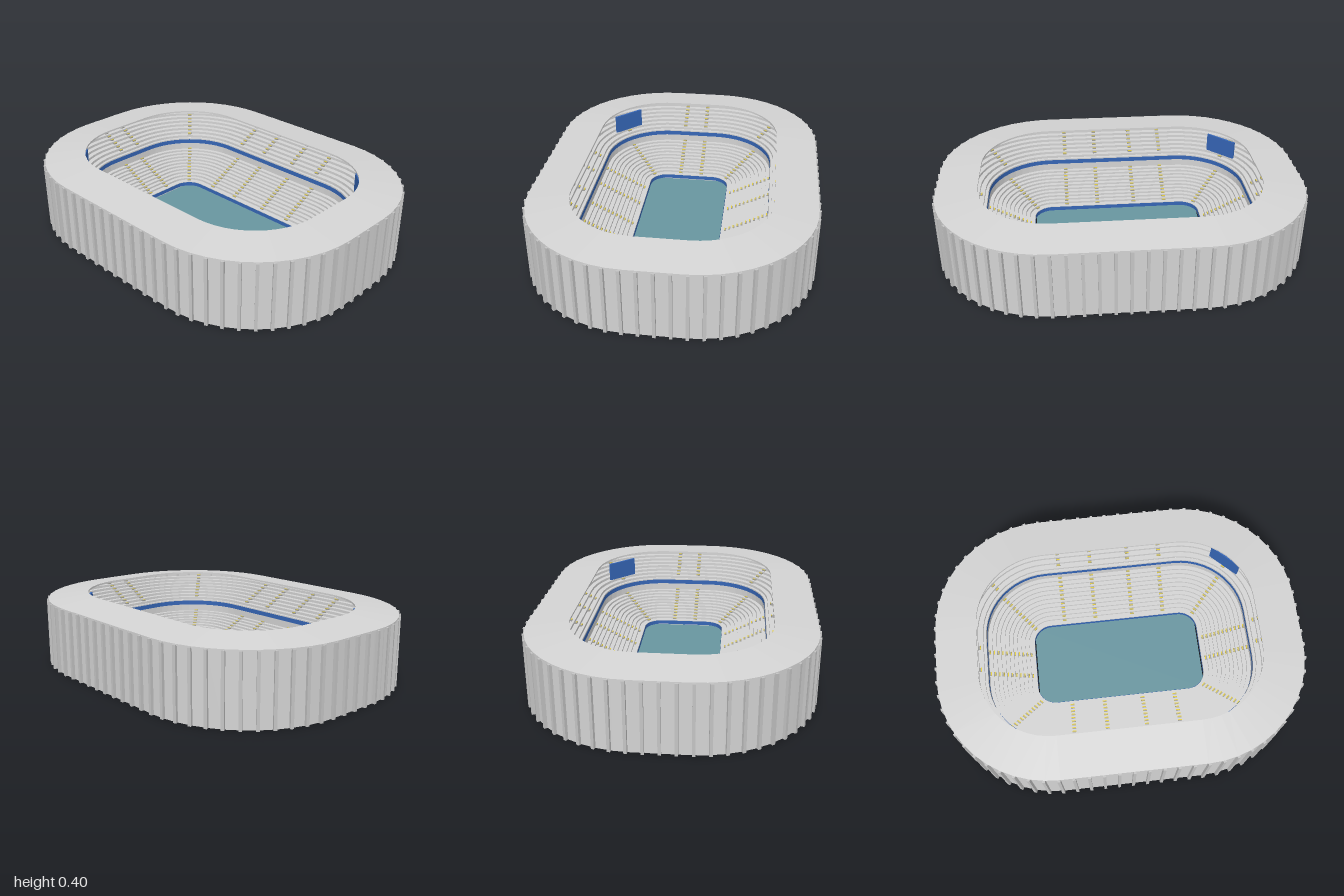
import * as THREE from 'three';

const mat = (name, color) => {
  const m = new THREE.MeshStandardMaterial({ color, side: THREE.DoubleSide });
  m.name = name;
  return m;
};

// Every ring is an offset, at distance r, of one core rectangle
const CX = 0.136, CZ = 0.38, CORNER_STEPS = 12;

// Outline directions: corner centre plus unit outward direction
function outline() {
  const pts = [];
  [[1, 1], [-1, 1], [-1, -1], [1, -1]].forEach(([sx, sz], q) => {
    for (let i = 0; i <= CORNER_STEPS; i++) {
      const t = (q + i / CORNER_STEPS) * Math.PI / 2;
      pts.push({ x: sx * CX, z: sz * CZ, c: Math.cos(t), s: Math.sin(t) });
    }
  });
  return pts;
}

// Sweep a profile of [r, y] points round the outline, with flat facets
function sweep(profile) {
  const path = outline(), pos = [];
  const at = (p, [r, y]) => [p.x + p.c * r, y, p.z + p.s * r];
  path.forEach((p, i) => {
    const n = path[(i + 1) % path.length];
    for (let j = 0; j < profile.length - 1; j++) {
      const a = at(p, profile[j]), b = at(n, profile[j]);
      const c = at(n, profile[j + 1]), d = at(p, profile[j + 1]);
      pos.push(...a, ...d, ...c, ...a, ...c, ...b);
    }
  });
  const g = new THREE.BufferGeometry();
  g.setAttribute('position', new THREE.Float32BufferAttribute(pos, 3));
  g.computeVertexNormals();
  return g;
}

// Stepped profile of a seating tier, closed by a sloping soffit
function tierProfile(t) {
  const p = [[t.r, t.y - t.rise]];
  for (let i = 0; i < t.rows; i++) {
    const y = t.y + i * t.rise;
    p.push([t.r + i * t.run, y], [t.r + (i + 1) * t.run, y]);
  }
  p.push([t.r + t.rows * t.run, t.y + (t.rows - 1) * t.rise - 0.002], [t.r, t.y - t.rise - 0.002]);
  return p;
}

export function createModel() {
  const model = new THREE.Group();
  model.name = 'stadium';
  const concrete = mat('concrete grey', 0xd3d3d3);
  const ribGrey = mat('rib grey', 0xc4c4c4);
  const blue = mat('band blue', 0x3565b5);
  const teal = mat('field teal', 0x68959f);
  const stairGrey = mat('stair grey', 0xa5a49e);
  const yellow = mat('step yellow', 0xe6cf3c);

  const add = (parent, name, geo, material) => {
    const m = new THREE.Mesh(geo, material);
    m.name = name;
    parent.add(m);
    return m;
  };

  // Field and the low barrier around it
  add(model, 'field', new THREE.BoxGeometry(0.48, 0.006, 0.955), teal).position.y = 0.003;
  add(model, 'fieldBarrier', sweep([[0.104, 0], [0.104, 0.032], [0.112, 0.032]]), concrete);
  add(model, 'fieldBand', sweep([[0.102, 0.007], [0.102, 0.03]]), blue);

  // Two seating tiers with a banded wall between them
  const lower = { r: 0.112, y: 0.032, run: 0.0225, rise: 0.0115, rows: 11 };
  const upper = { r: 0.375, y: 0.235, run: 0.028, rise: 0.0145, rows: 8 };
  add(model, 'lowerTier', sweep(tierProfile(lower)), concrete);
  add(model, 'middleWall', sweep([[0.3595, 0.145], [0.3595, 0.22], [0.375, 0.22]]), concrete);
  add(model, 'middleBand', sweep([[0.357, 0.188], [0.357, 0.214]]), blue);
  add(model, 'upperTier', sweep(tierProfile(upper)), concrete);

  // Outer wall and sloping roof ring
  add(model, 'outerWall', sweep([[0.604, 0], [0.604, 0.368]]), concrete);
  add(model, 'roof', sweep([
    [0.385, 0.39], [0.385, 0.4], [0.61, 0.374], [0.61, 0.364], [0.385, 0.39],
  ]), concrete);

  // Stairs: one low block and a thin yellow nosing per row
  const nosing = new THREE.BoxGeometry(0.005, 0.002, 0.022);
  function stair(x, z, angle) {
    const g = new THREE.Group();
    g.name = 'stair';
    g.position.set(x, 0, z);
    g.rotation.y = -angle;
    for (const t of [lower, upper]) {
      const block = new THREE.BoxGeometry(t.run / 2, t.rise / 2, 0.022);
      for (let i = 0; i < t.rows; i++) {
        const r = t.r + i * t.run, y = t.y + i * t.rise;
        add(g, 'stairStep', block, stairGrey).position.set(r + t.run * 0.75, y + t.rise / 4, 0);
        add(g, 'stepNosing', nosing, yellow).position.set(r + t.run / 2 + 0.0025, y + t.rise / 2 + 0.001, 0);
      }
    }
    model.add(g);
  }
  for (const s of [1, -1]) {
    const side = s > 0 ? 0 : Math.PI;
    for (const z of [-0.295, -0.11, 0.11, 0.295]) stair(s * CX, z, side);
    for (const x of [-0.065, 0.065]) stair(x, s * CZ, s * Math.PI / 2);
    for (const k of [1, -1]) stair(s * CX, k * CZ, Math.atan2(k, s));
  }

  // Display boards hung in two opposite corners, facing inward
  for (const s of [1, -1]) {
    const board = add(model, 'displayBoard', new THREE.BoxGeometry(0.192, 0.106, 0.012), blue);
    board.position.set(s * 0.42, 0.305, s * 0.66);
    board.rotation.y = Math.PI / 4;
  }

  // Vertical ribs spaced evenly along the outer wall
  const R = 0.612, COUNT = 76;
  const path = outline().map(p => new THREE.Vector3(p.x + p.c * R, 0, p.z + p.s * R));
  path.push(path[0].clone());
  const curve = new THREE.CurvePath();
  for (let i = 0; i < path.length - 1; i++) curve.add(new THREE.LineCurve3(path[i], path[i + 1]));
  const start = 1 - CZ / curve.getLength();
  const ribGeo = new THREE.BoxGeometry(0.016, 0.37, 0.016);
  for (let i = 0; i < COUNT; i++) {
    const u = (start + i / COUNT) % 1;
    const p = curve.getPointAt(u), t = curve.getTangentAt(u);
    const rib = add(model, 'wallRib', ribGeo, ribGrey);
    rib.position.set(p.x, 0.185, p.z);
    rib.rotation.y = Math.atan2(t.x, t.z);
  }
  return model;
}
